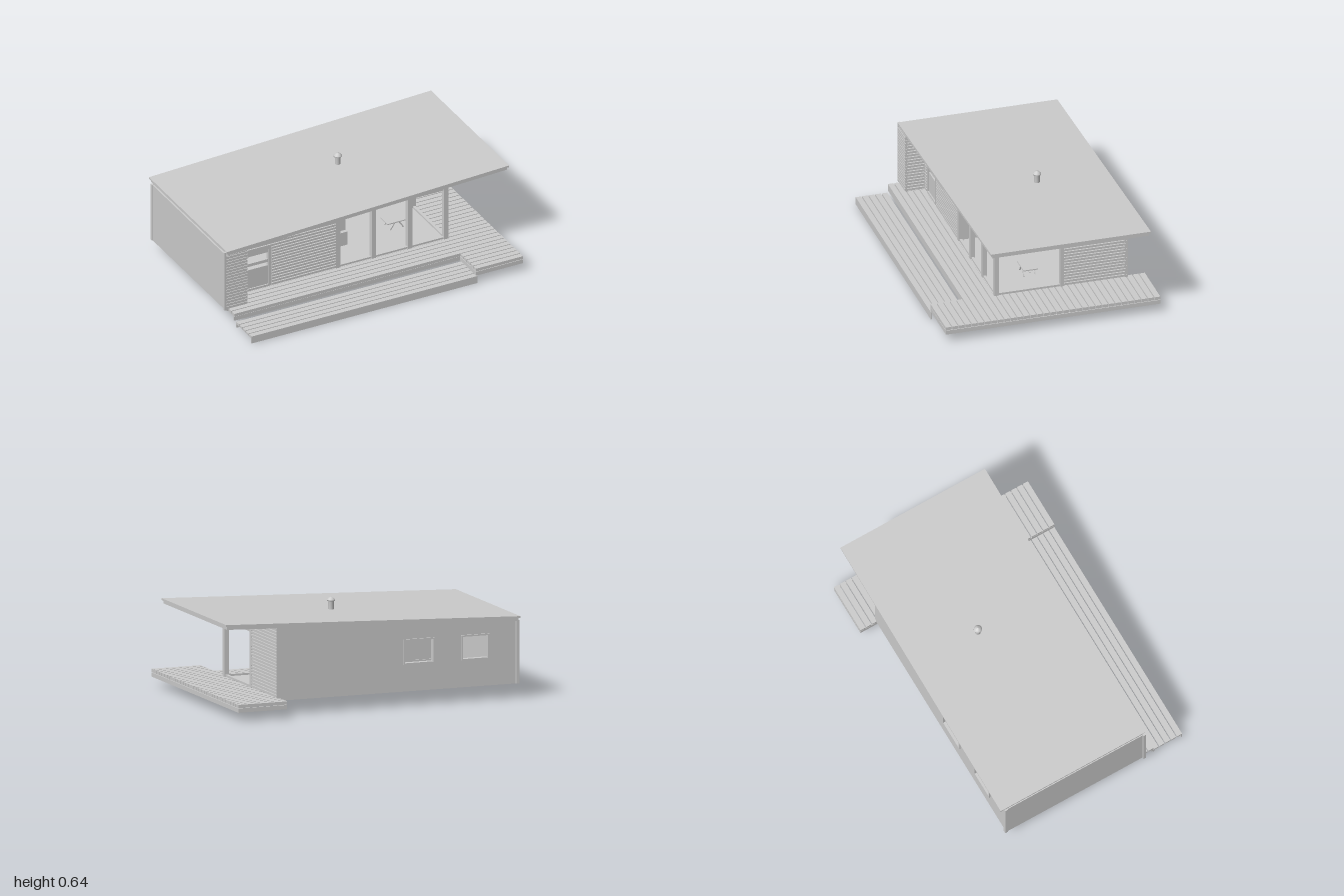
import * as THREE from 'three';

export function createModel() {
  const house = new THREE.Group();
  const mat = new THREE.MeshStandardMaterial({ color: 0xcccccc, side: THREE.DoubleSide });
  const roofY = (x) => 0.56 + 0.04 * x; // top of the mono-pitch roof
  const underY = (x) => roofY(x) - 0.032;

  function group(name) {
    const g = new THREE.Group();
    g.name = name;
    house.add(g);
    return g;
  }
  function add(name, geo, parent = house) {
    const m = new THREE.Mesh(geo, mat);
    m.name = name;
    parent.add(m);
    return m;
  }
  function box(name, x0, x1, y0, y1, z0, z1, parent) {
    const m = add(name, new THREE.BoxGeometry(x1 - x0, y1 - y0, z1 - z0), parent);
    m.position.set((x0 + x1) / 2, (y0 + y1) / 2, (z0 + z1) / 2);
    return m;
  }
  // Upright panel in xy whose edges may follow the roof; holes are [x0, x1, y0, y1]
  function panel(name, x0, x1, bottom, top, z0, z1, holes = [], parent) {
    const s = new THREE.Shape([
      new THREE.Vector2(x0, bottom(x0)), new THREE.Vector2(x1, bottom(x1)),
      new THREE.Vector2(x1, top(x1)), new THREE.Vector2(x0, top(x0))]);
    for (const [a, b, c, d] of holes) {
      s.holes.push(new THREE.Path([
        new THREE.Vector2(a, c), new THREE.Vector2(a, d),
        new THREE.Vector2(b, d), new THREE.Vector2(b, c)]));
    }
    const geo = new THREE.ExtrudeGeometry(s, { depth: z1 - z0, bevelEnabled: false });
    geo.translate(0, 0, z0);
    return add(name, geo, parent);
  }
  const floorTop = () => 0.105;

  // Roof: fascia slab with a slightly larger covering
  const roof = group('roof');
  panel('roofSlab', -0.975, 0.99, (x) => roofY(x) - 0.032, (x) => roofY(x) - 0.01, -0.61, 0.41, [], roof);
  panel('roofCovering', -0.985, 1, (x) => roofY(x) - 0.012, roofY, -0.62, 0.42, [], roof);

  // Floor
  box('floor', -0.98, 0.62, 0.088, 0.106, -0.57, 0.29);
  box('storageFloor', -0.98, -0.84, 0.088, 0.106, 0.29, 0.41);

  // Solid walls
  const windows = [[-0.42, -0.21, 0.26, 0.42], [-0.79, -0.6, 0.26, 0.42]];
  const door = [-0.79, -0.61, 0.108, 0.39];
  panel('backWall', -0.98, 0.64, () => 0.09, underY, -0.58, -0.56, windows);
  panel('leftWall', -0.985, -0.965, () => 0.09, underY, -0.57, 0.41);
  panel('frontWall', -0.84, -0.14, floorTop, underY, 0.265, 0.28, [door]);
  panel('rightWall', 0.62, 0.632, floorTop, underY, -0.56, -0.15);
  panel('storageFront', -0.985, -0.84, floorTop, underY, 0.4, 0.412);
  panel('storageSide', -0.86, -0.848, floorTop, underY, 0.28, 0.4);
  box('cornerBoard', -1, -0.985, 0.1, 0.515, 0.4, 0.415);
  box('backCornerBoard', -0.99, -0.97, 0.09, 0.49, -0.59, -0.57);

  // Horizontal cladding boards
  const cladding = group('cladding');
  const pitch = 0.02;
  for (let y = 0.11; y < 0.54; y += pitch) {
    const y1 = y + 0.014;
    if (y1 < underY(0.64)) box('rightBoard', 0.632, 0.642, y, y1, -0.575, -0.15, cladding);
    if (y1 < underY(-0.84)) {
      box('storageSideBoard', -0.848, -0.838, y, y1, 0.29, 0.415, cladding);
      box('storageFrontBoard', -0.99, -0.84, y, y1, 0.412, 0.417, cladding);
    }
    if (y1 < underY(-0.5)) {
      const spans = y < 0.39 ? [[-0.838, -0.8], [-0.6, -0.145]] : [[-0.838, -0.145]];
      for (const [a, b] of spans) box('frontBoard', a, b, y, y1, 0.28, 0.289, cladding);
    }
  }

  // Rectangular frame around an opening
  function frame(name, [x0, x1, y0, y1], z0, z1, t) {
    const g = group(name);
    box('leftJamb', x0, x0 + t, y0, y1, z0, z1, g);
    box('rightJamb', x1 - t, x1, y0, y1, z0, z1, g);
    box('head', x0, x1, y1 - t, y1, z0, z1, g);
    box('sill', x0, x1, y0, y0 + t, z0, z1, g);
    return g;
  }
  for (const w of windows) frame('backWindowFrame', w, -0.59, -0.555, 0.01);

  // Door with glazed openings above a solid lower panel
  const doorGroup = frame('door', door, 0.262, 0.288, 0.014);
  box('lowerPanel', -0.776, -0.624, 0.11, 0.255, 0.27, 0.28, doorGroup);
  box('midRail', -0.776, -0.624, 0.28, 0.3, 0.268, 0.282, doorGroup);
  box('topRail', -0.776, -0.624, 0.35, 0.38, 0.268, 0.282, doorGroup);

  // Front and side glazing bays: posts, rails and sills
  const bays = group('glazingFrame');
  for (const x of [-0.133, 0.118, 0.372, 0.627]) {
    panel('post', x - 0.015, x + 0.015, floorTop, underY, 0.258, 0.29, [], bays);
  }
  panel('sidePost', 0.612, 0.642, floorTop, underY, -0.165, -0.14, [], bays);
  box('frontRail', -0.13, 0.63, 0.455, 0.472, 0.265, 0.283, bays);
  box('frontSill', -0.13, 0.63, 0.105, 0.118, 0.265, 0.283, bays);
  panel('frontHeadBeam', -0.13, 0.63, (x) => underY(x) - 0.018, underY, 0.265, 0.283, [], bays);
  box('sideRail', 0.618, 0.636, 0.455, 0.472, -0.15, 0.27, bays);
  box('sideSill', 0.618, 0.636, 0.105, 0.118, -0.15, 0.27, bays);
  box('sideHeadBeam', 0.618, 0.636, 0.535, 0.552, -0.15, 0.27, bays);

  // Interior: partition, cabinet and bench
  box('partition', -0.145, -0.13, 0.105, 0.495, -0.56, 0.26);
  box('cabinet', -0.13, 0.05, 0.105, 0.36, -0.17, 0.04);
  box('bench', -0.13, 0.05, 0.105, 0.2, 0.04, 0.065);

  // Small table with crossed legs
  const table = group('table');
  box('tableTop', 0.34, 0.48, 0.158, 0.165, -0.045, 0.05, table);
  for (const z of [-0.035, 0.04]) {
    for (const side of [-1, 1]) {
      const leg = box('tableLeg', 0.406, 0.414, 0.105, 0.165, z - 0.003, z + 0.003, table);
      leg.rotation.z = side * 0.6;
      leg.position.x += side * 0.03;
      leg.scale.y = 0.95;
    }
  }
  box('tableBrace', 0.36, 0.46, 0.13, 0.136, -0.002, 0.006, table);

  // Stove with flue, and the chimney above the roof
  const lathe = (pts) => new THREE.LatheGeometry(pts.map(([r, y]) => new THREE.Vector2(r, y)), 16);
  const stove = add('stove', lathe([[0, 0.106], [0.03, 0.106], [0.03, 0.115], [0.024, 0.13],
    [0.024, 0.17], [0.011, 0.18], [0.011, 0.54]]));
  stove.position.set(0.09, 0, -0.14);
  const chimney = add('chimney', lathe([[0.018, 0.54], [0.018, 0.615], [0.026, 0.618],
    [0.026, 0.624], [0.015, 0.636], [0, 0.642]]));
  chimney.position.set(0.098, 0, -0.155);

  // Foundation box under the floor
  box('foundationBox', -0.21, 0.05, 0.02, 0.09, -0.14, 0.04);

  // Deck boards run along x, with gaps; the front edge drops to a step
  const deck = group('deck');
  const step = group('step');
  for (let i = 0; i < 33; i++) {
    const z1 = 0.7 - i * 0.0425;
    const z0 = z1 - 0.036;
    box('sideBoard', 0.62, 0.95, 0.085, 0.105, z0, z1, deck);
    if (i < 5) box('stepBoard', -0.96, 0.63, 0.035, 0.05, z0, z1, step);
    else if (z0 > 0.27) box('frontBoard', z0 > 0.4 ? -0.97 : -0.84, 0.62, 0.085, 0.105, z0, z1, deck);
  }
  box('frontFascia', 0.62, 0.95, 0.055, 0.082, 0.69, 0.7, deck);
  box('backFascia', 0.62, 0.95, 0.055, 0.082, -0.696, -0.686, deck);
  box('outerFascia', 0.94, 0.95, 0.055, 0.082, -0.69, 0.7, deck);
  box('innerFascia', 0.62, 0.63, 0.055, 0.082, -0.69, 0.7, deck);
  box('stepRiser', -0.97, 0.62, 0.055, 0.082, 0.475, 0.485, deck);
  box('stepFascia', -0.96, 0.63, 0, 0.045, 0.692, 0.7, step);
  box('stepBackBeam', -0.96, 0.63, 0.01, 0.035, 0.49, 0.5, step);

  return house;
}
